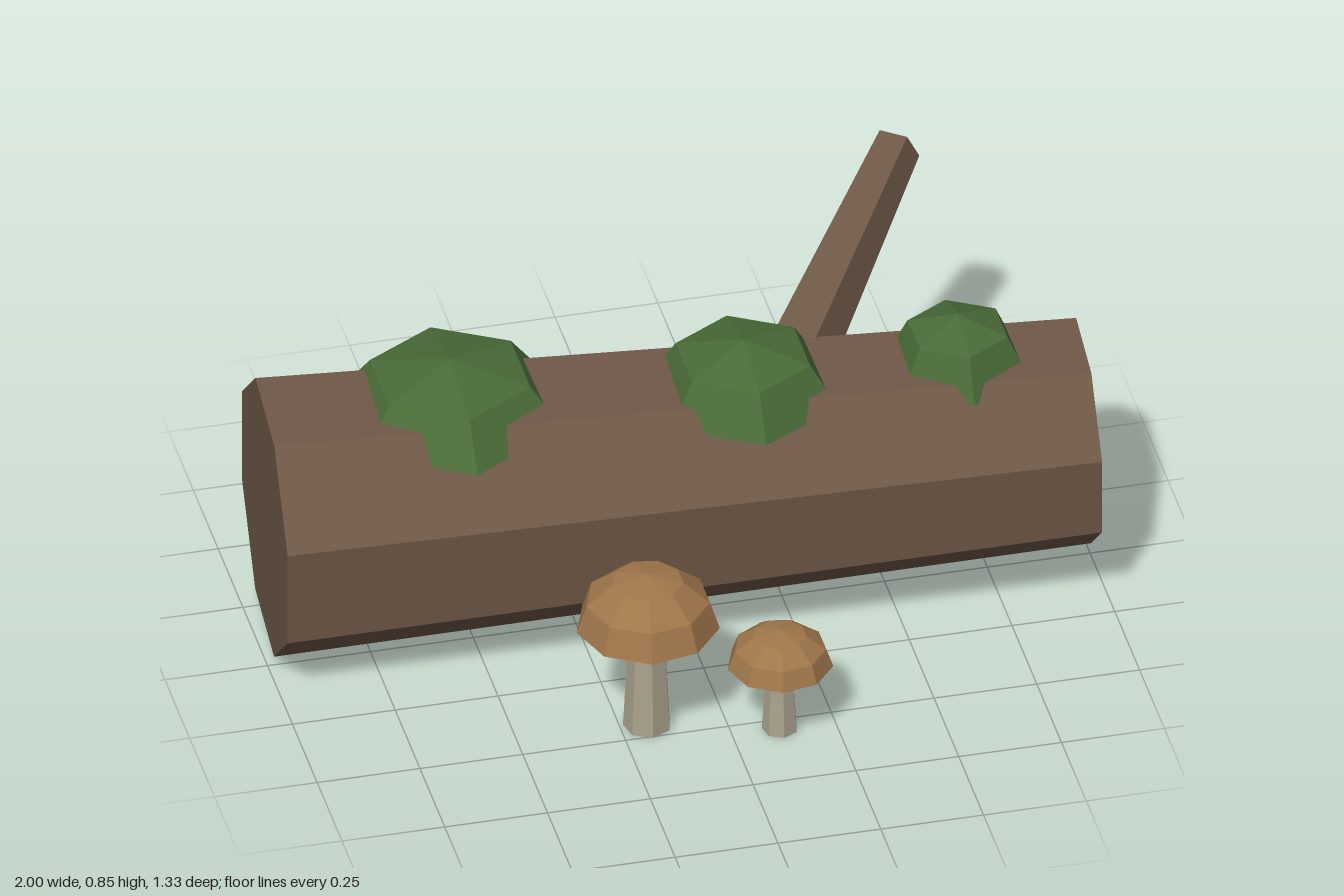
import * as THREE from 'three';

const flat = (name, color) => {
  const m = new THREE.MeshStandardMaterial({ color });
  m.name = name;
  m.flatShading = true;
  return m;
};

export function createModel() {
  const bark = flat('bark', 0x6e5847);
  const moss = flat('moss', 0x4a6b38);
  const capColor = flat('mushroomCap', 0xa0764a);
  const stemColor = flat('mushroomStem', 0xaaa28c);

  const group = new THREE.Group();
  const add = (parent, name, geometry, material) => {
    const mesh = new THREE.Mesh(geometry, material);
    mesh.name = name;
    parent.add(mesh);
    return mesh;
  };

  // Tapered prism running from point a to point b
  const taper = (name, a, b, ra, rb, sides, roll) => {
    const from = new THREE.Vector3(...a), to = new THREE.Vector3(...b);
    const dir = to.clone().sub(from);
    const geo = new THREE.CylinderGeometry(rb, ra, dir.length(), sides);
    geo.rotateY(roll);
    const mesh = add(group, name, geo, bark);
    mesh.quaternion.setFromUnitVectors(new THREE.Vector3(0, 1, 0), dir.normalize());
    mesh.position.copy(from).add(to).multiplyScalar(0.5);
  };

  // Faceted half dome of unit size, first corner towards +z
  const dome = (sides, rows, closed) => {
    const points = closed ? [new THREE.Vector2(0, 0)] : [];
    for (let i = 0; i <= rows; i++) {
      const t = (i / rows) * Math.PI / 2;
      points.push(new THREE.Vector2(i === rows ? 0 : Math.cos(t), Math.sin(t)));
    }
    return new THREE.LatheGeometry(points, sides);
  };

  // Fallen log and its broken branch
  taper('log', [-0.98, 0.3475, -0.1125], [0.98, 0.3675, 0.018], 0.344, 0.278, 8, Math.PI / 8);
  taper('branch', [0.27, 0.54, -0.08], [0.68, 0.8, -0.63], 0.092, 0.06, 5, 0);

  // Moss clumps: x, z, radius
  [[-0.53, -0.11, 0.28], [0.162, -0.025, 0.235], [0.68, -0.01, 0.175]].forEach(([x, z, r], i) => {
    const clump = add(group, 'mossClump' + (i + 1), dome(6, 2, true), moss);
    clump.position.set(x, 0.585, z);
    clump.scale.set(r, 0.148, r);
  });

  // Mushrooms: position, cap size and stem radii
  const mushroom = (name, x, z, height, capR, capH, footR, neckR) => {
    const shroom = new THREE.Group();
    shroom.name = name;
    shroom.position.set(x, 0, z);
    group.add(shroom);

    const stemH = height + 0.01;
    const stem = add(shroom, 'stem', new THREE.CylinderGeometry(neckR, footR, stemH, 7), stemColor);
    stem.position.y = stemH / 2;

    const cap = add(shroom, 'cap', dome(9, 3, false).rotateY(-Math.PI / 2), capColor);
    cap.position.y = height;
    cap.scale.set(capR, capH, capR);

    const gills = add(shroom, 'gills', new THREE.CircleGeometry(capR, 9).rotateX(Math.PI / 2).rotateY(Math.PI), bark);
    gills.position.y = height;
  };
  mushroom('largeMushroom', -0.184, 0.447, 0.29, 0.172, 0.142, 0.058, 0.043);
  mushroom('smallMushroom', 0.117, 0.535, 0.188, 0.127, 0.093, 0.043, 0.031);

  return group;
}
